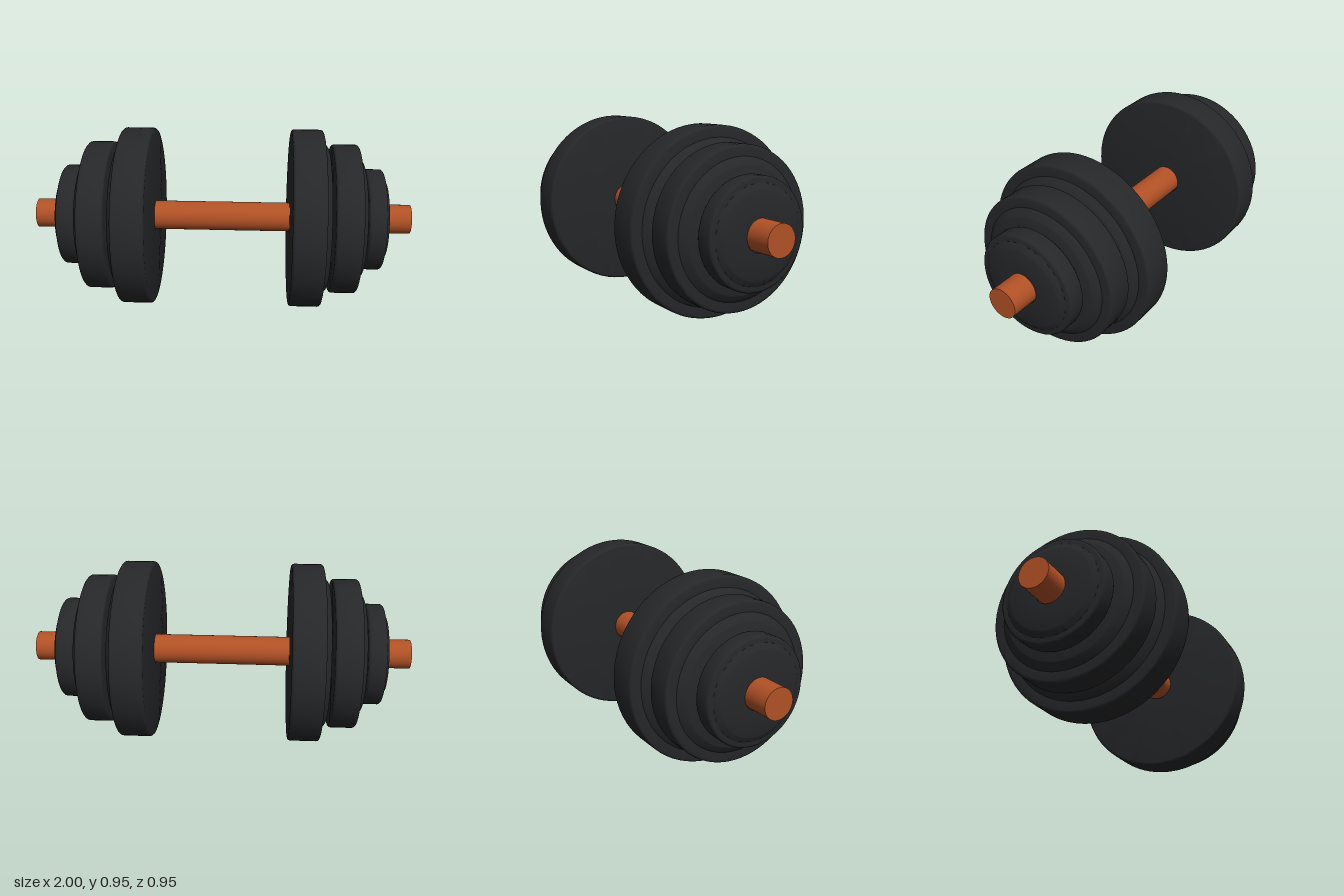
import * as THREE from 'three';
import { toCreasedNormals } from 'three/addons/utils/BufferGeometryUtils.js';

const AXIS_Y = 0.473;
const HOLE = 0.078;

// Weight plate: flat inner face, rounded rim, chamfered boss on the outer face
function plateGeometry({ radius, inner, rim, tip, bossBase, bossTip }) {
  const r = 0.014;
  const pts = [new THREE.Vector2(HOLE, inner)];
  const corner = (y, from) => {
    for (let i = 0; i <= 3; i++) {
      const a = from + (i / 3) * Math.PI / 2;
      pts.push(new THREE.Vector2(radius - r + r * Math.cos(a), y + r * Math.sin(a)));
    }
  };
  corner(inner + r, -Math.PI / 2);
  corner(rim - r, 0);
  pts.push(
    new THREE.Vector2(bossBase, rim),
    new THREE.Vector2(bossBase - 0.004, rim + 0.004),
    new THREE.Vector2(bossTip, tip - 0.003),
    new THREE.Vector2(bossTip - 0.006, tip),
    new THREE.Vector2(HOLE, tip),
    new THREE.Vector2(HOLE, inner) // closes the bore
  );
  return toCreasedNormals(new THREE.LatheGeometry(pts, 72), 0.6);
}

export function createModel() {
  const group = new THREE.Group();
  group.name = 'dumbbell';

  const iron = new THREE.MeshStandardMaterial({ color: 0x262729 });
  iron.name = 'black iron';
  const copper = new THREE.MeshStandardMaterial({ color: 0xb15126 });
  copper.name = 'copper bar';

  // Bar, resting a touch high in the plate bores
  const bar = new THREE.Mesh(new THREE.CylinderGeometry(0.077, 0.077, 2, 48), copper);
  bar.name = 'bar';
  bar.rotation.z = Math.PI / 2;
  bar.position.y = AXIS_Y + 0.004;
  group.add(bar);

  // Three plates of falling size on each end
  const plates = [
    { name: 'largePlate', radius: 0.473, inner: 0.36, rim: 0.527, tip: 0.557, bossBase: 0.415, bossTip: 0.382 },
    { name: 'mediumPlate', radius: 0.397, inner: 0.574, rim: 0.713, tip: 0.741, bossBase: 0.342, bossTip: 0.308 },
    { name: 'smallPlate', radius: 0.268, inner: 0.751, rim: 0.845, tip: 0.862, bossBase: 0.236, bossTip: 0.212 },
  ];
  for (const plate of plates) {
    const geometry = plateGeometry(plate);
    for (const [side, sign] of [['left', 1], ['right', -1]]) {
      const mesh = new THREE.Mesh(geometry, iron);
      mesh.name = `${plate.name} ${side}`;
      mesh.rotation.z = -sign * Math.PI / 2;
      mesh.position.y = AXIS_Y;
      group.add(mesh);
    }
  }
  return group;
}
